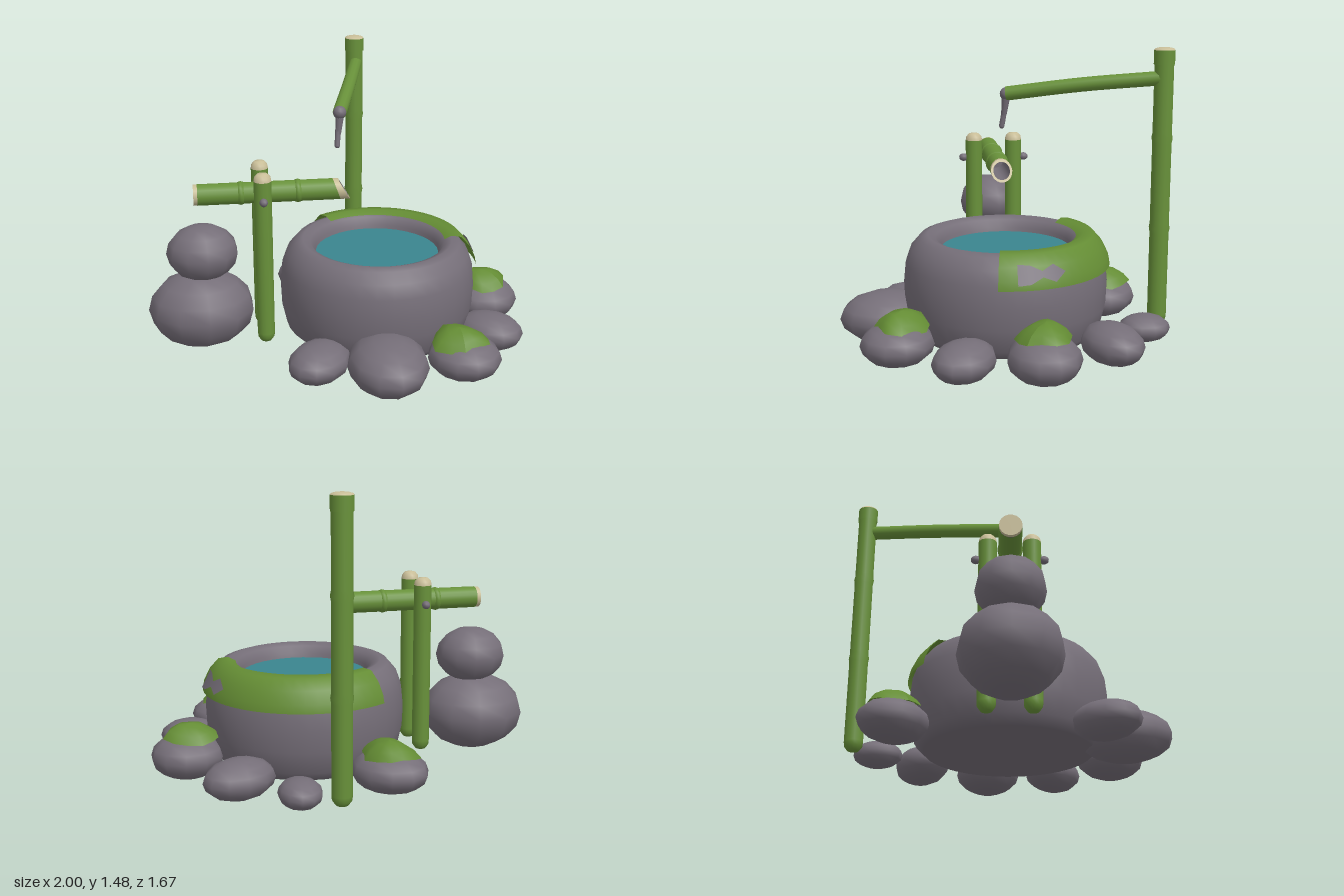
import * as THREE from 'three';

const mat = (name, color) => {
  const m = new THREE.MeshStandardMaterial({ color, side: THREE.DoubleSide });
  m.name = name;
  return m;
};
const rad = THREE.MathUtils.degToRad;
const v3 = (x, y, z) => new THREE.Vector3(x, y, z);

export function createModel() {
  const model = new THREE.Group();
  const stone = mat('stone grey', 0x756e78);
  const bamboo = mat('bamboo green', 0x68913a);
  const moss = mat('moss green', 0x648c34);
  const cream = mat('cut bamboo cream', 0xc9be98);
  const water = mat('water teal', 0x3a858e);

  const add = (name, geo, material, x = 0, y = 0, z = 0) => {
    const mesh = new THREE.Mesh(geo, material);
    mesh.name = name;
    mesh.position.set(x, y, z);
    model.add(mesh);
    return mesh;
  };
  const lathe = (pts, seg, start = 0, len = Math.PI * 2) =>
    new THREE.LatheGeometry(pts.map(p => new THREE.Vector2(...p)), seg, start, len);

  // Stone basin with rounded rim
  const bx = 0.195;
  add('basin', lathe([[0, 0.06], [0.43, 0.06], [0.48, 0.11], [0.505, 0.22], [0.51, 0.33], [0.5, 0.43],
    [0.475, 0.5], [0.43, 0.552], [0.39, 0.565], [0.35, 0.548], [0.325, 0.51], [0.315, 0.44]], 36), stone, bx);
  const pool = add('water', new THREE.CircleGeometry(0.325, 36), water, bx, 0.49, 0);
  pool.rotation.x = -Math.PI / 2;

  // Moss draped over the back right of the rim
  add('rimMoss', lathe([[0.522, 0.42], [0.515, 0.46], [0.485, 0.522], [0.44, 0.572], [0.39, 0.578],
    [0.352, 0.558]], 20, rad(80), rad(136)), moss, bx);

  // Bare stone showing through the moss: a strip pinched column by column
  const patch = lathe([[0.529, 0.445], [0.484, 0.535]], 4, rad(90), rad(27));
  const heights = [1, 0.9, 0.3, 0.85, 0];
  const pp = patch.attributes.position;
  for (let i = 0; i < 5; i++) {
    const a = v3().fromBufferAttribute(pp, i * 2), b = v3().fromBufferAttribute(pp, i * 2 + 1);
    const mid = a.clone().lerp(b, 0.5);
    a.lerpVectors(mid, a, heights[i]);
    b.lerpVectors(mid, b, heights[i]);
    pp.setXYZ(i * 2, a.x, a.y, a.z);
    pp.setXYZ(i * 2 + 1, b.x, b.y, b.z);
  }
  add('barePatch', patch, stone, bx);

  // Rocks: x, y, z, radii, turn about y
  const rockGeo = new THREE.SphereGeometry(1, 11, 8);
  [
    [-0.73, 0.225, 0, 0.275, 0.202, 0.242, 0],
    [-0.715, 0.535, 0, 0.185, 0.147, 0.165, 0],
    [0.15, 0.135, 0.585, 0.2, 0.133, 0.25, 0],
    [0.54, 0.13, 0.55, 0.185, 0.105, 0.175, -0.6],
    [0.75, 0.11, 0.25, 0.18, 0.095, 0.14, -0.6],
    [0.815, 0.13, -0.11, 0.185, 0.115, 0.175, 0],
    [0.61, 0.115, -0.465, 0.185, 0.1, 0.14, 0.4],
    [0.363, 0.1, -0.68, 0.105, 0.07, 0.13, 0],
    [-0.1, 0.125, -0.56, 0.195, 0.105, 0.165, -0.7],
    [-0.17, 0.11, 0.465, 0.185, 0.095, 0.145, 0.9],
  ].forEach(([x, y, z, rx, ry, rz, turn], i) => {
    const rock = add('rock' + (i + 1), rockGeo, stone, x, y, z);
    rock.scale.set(rx, ry, rz);
    rock.rotation.y = turn;
  });

  // Moss caps with an uneven outline
  const capGeo = lathe([[1, 0], [0.78, 0.5], [0.42, 0.88], [0, 1]], 12);
  const cp = capGeo.attributes.position;
  for (let i = 0; i < cp.count; i++) {
    const x = cp.getX(i), z = cp.getZ(i), r = Math.hypot(x, z), a = Math.atan2(z, x);
    const k = 1 + r * (0.09 * Math.sin(3 * a + 0.5) + 0.07 * Math.sin(5 * a));
    cp.setXYZ(i, x * k, cp.getY(i) + 0.15 * r * Math.sin(2 * a), z * k);
  }
  capGeo.computeVertexNormals();
  [
    [0.515, 0.205, 0.53, 0.142, 0.077, 0.132, 0],
    [0.8, 0.225, -0.115, 0.125, 0.075, 0.14, 0.8],
    [-0.095, 0.205, -0.565, 0.145, 0.077, 0.12, -0.8],
  ].forEach(([x, y, z, sx, sy, sz, turn], i) => {
    const cap = add('rockMoss' + (i + 1), capGeo, moss, x, y, z);
    cap.scale.set(sx, sy, sz);
    cap.rotation.y = turn;
  });

  // Upright bamboo stems with rounded foot and raised nodes
  const stem = (name, x, z, r, top, nodes) => {
    const pts = [[0, 0.06], [r * 0.6, 0.068], [r * 0.95, 0.09], [r, 0.115]];
    nodes.forEach(n => pts.push([r, n - 0.025], [r * 1.09, n], [r, n + 0.025]));
    pts.push([r, top]);
    add(name, lathe(pts, 14), bamboo, x, 0, z);
  };
  const dome = (r, h) => lathe([[r, 0], [r * 0.92, h * 0.5], [r * 0.6, h * 0.9], [0, h]], 14);

  const px = 0.192, pz = -0.787;
  stem('tallPole', px, pz, 0.049, 1.41, [0.57, 1.03]);
  add('poleCollar', new THREE.CylinderGeometry(0.053, 0.053, 0.07, 14, 1, true), bamboo, px, 1.432, pz);
  add('poleTop', dome(0.053, 0.013), cream, px, 1.467, pz);

  for (const s of [-1, 1]) {
    stem('post', -0.405, s * 0.108, 0.045, 0.94, []);
    add('postTop', dome(0.045, 0.04), cream, -0.405, 0.94, s * 0.108);
    const peg = add('peg', new THREE.SphereGeometry(0.021, 10, 8), stone, -0.405, 0.845, s * 0.165);
    peg.scale.z = 1.2;
  }

  // Drooping arm with a stone drip tip
  add('arm', new THREE.TubeGeometry(new THREE.CatmullRomCurve3(
    [v3(0.2, 1.33, -0.78), v3(0.105, 1.293, -0.4), v3(0, 1.24, -0.025)]), 12, 0.036, 12), bamboo);
  add('armEnd', new THREE.SphereGeometry(0.034, 12, 8), stone, 0, 1.239, -0.026);
  add('dripTip', new THREE.TubeGeometry(new THREE.CatmullRomCurve3(
    [v3(0, 1.235, -0.024), v3(-0.01, 1.15, -0.016), v3(-0.015, 1.075, -0.004)]), 8, 0.014, 10), stone);
  add('dripTipEnd', new THREE.SphereGeometry(0.014, 10, 6), stone, -0.015, 1.073, -0.004);
  const dripRoot = add('dripRoot', new THREE.CylinderGeometry(0.022, 0.014, 0.1, 10), stone, -0.004, 1.18, -0.019);
  dripRoot.rotation.set(-0.1, 0, -0.1);

  // Hollow spout along x; each end may lean by a slope against y
  const pipe = (name, xa, ka, xb, kb, r, material) => {
    const geo = new THREE.CylinderGeometry(r, r, 1, 18, 1, true).rotateZ(-Math.PI / 2);
    const p = geo.attributes.position;
    for (let i = 0; i < p.count; i++) {
      const y = p.getY(i);
      p.setX(i, p.getX(i) < 0 ? xa - ka * y : xb - kb * y);
    }
    add(name, geo, material, 0, 0.845, 0);
  };
  pipe('spout', -0.728, 0, -0.02, 0.36, 0.055, bamboo);
  pipe('spoutBackEnd', -0.748, 0, -0.728, 0, 0.054, cream);
  pipe('spoutCut', -0.02, 0.36, 0.018, 0.59, 0.055, cream);
  pipe('spoutInside', -0.7, 0, 0.018, 0.59, 0.043, stone);
  const rim = new THREE.RingGeometry(0.043, 0.055, 18).rotateY(Math.PI / 2);
  const rp = rim.attributes.position;
  for (let i = 0; i < rp.count; i++) rp.setX(i, 0.018 - 0.59 * rp.getY(i));
  rim.computeVertexNormals();
  add('spoutRim', rim, cream, 0, 0.845, 0);
  add('spoutFloor', new THREE.CircleGeometry(0.043, 18).rotateY(Math.PI / 2), stone, -0.3, 0.845, 0);
  add('spoutBackCap', new THREE.CircleGeometry(0.054, 18).rotateY(-Math.PI / 2), cream, -0.748, 0.845, 0);
  for (const x of [-0.51, -0.22]) {
    const node = add('spoutNode', new THREE.TorusGeometry(0.053, 0.008, 6, 18).rotateY(Math.PI / 2), bamboo, x, 0.845, 0);
    node.scale.x = 2;
  }

  return model;
}
